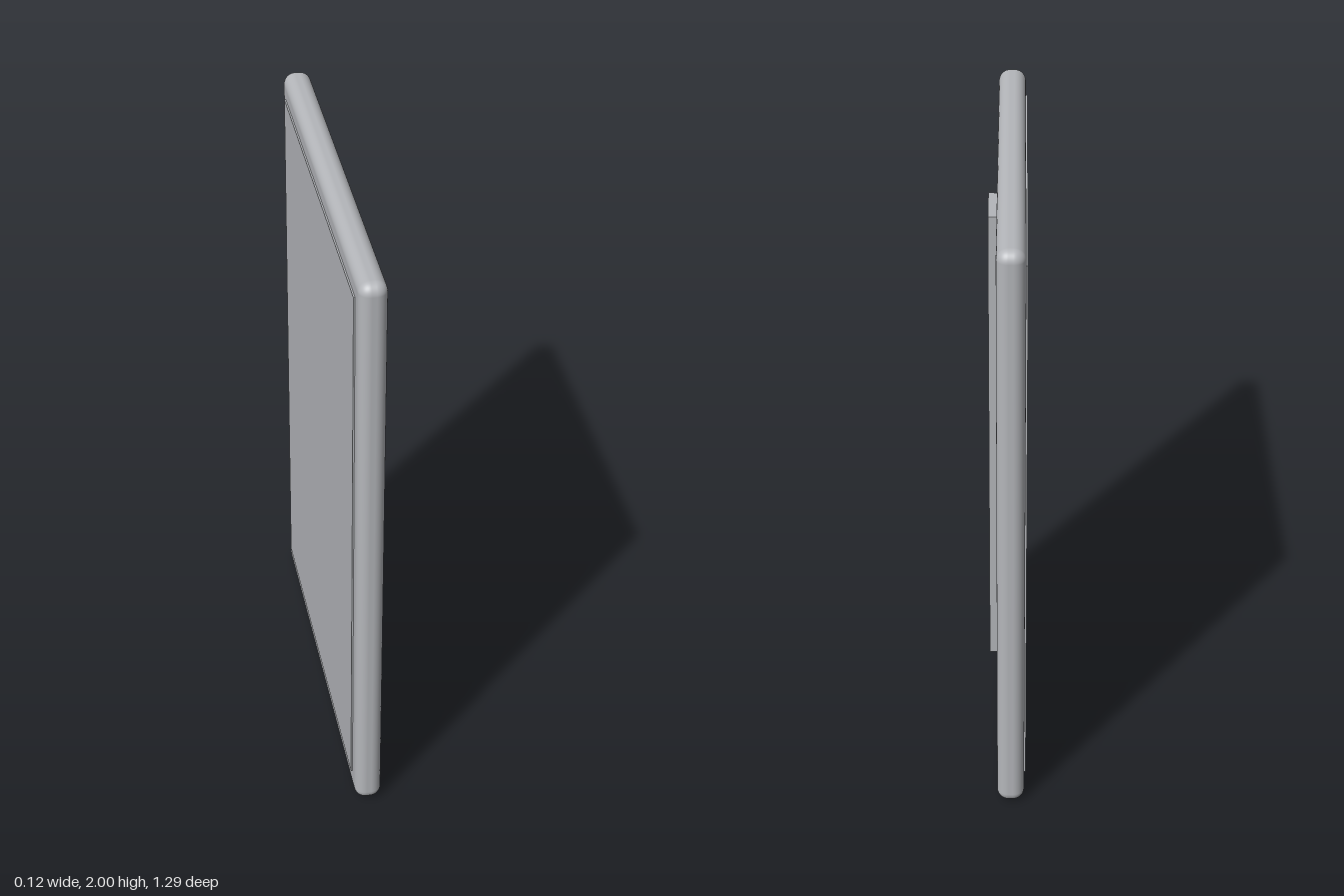
import * as THREE from 'three';
import { RoundedBoxGeometry } from 'three/addons/geometries/RoundedBoxGeometry.js';

export function createModel() {
  const model = new THREE.Group();
  model.name = 'panel';
  const grey = new THREE.MeshStandardMaterial({ color: 0xb4b6ba });
  grey.name = 'light grey';

  const add = (name, geometry, x, y) => {
    const mesh = new THREE.Mesh(geometry, grey);
    mesh.name = name;
    mesh.position.set(x, y, 0);
    model.add(mesh);
  };

  // Upright slab with softly rounded edges
  add('slab', new RoundedBoxGeometry(0.086, 2, 1.286, 5, 0.036), -0.012, 1);

  // Thin face plate on the -x side, slightly proud of the slab
  add('facePlate', new THREE.BoxGeometry(0.01, 1.85, 1.156), -0.055, 1.003);

  // Narrow raised mounting rail on the +x side
  add('mountingRail', new THREE.BoxGeometry(0.04, 1.645, 0.163), 0.04, 1.003);

  return model;
}
